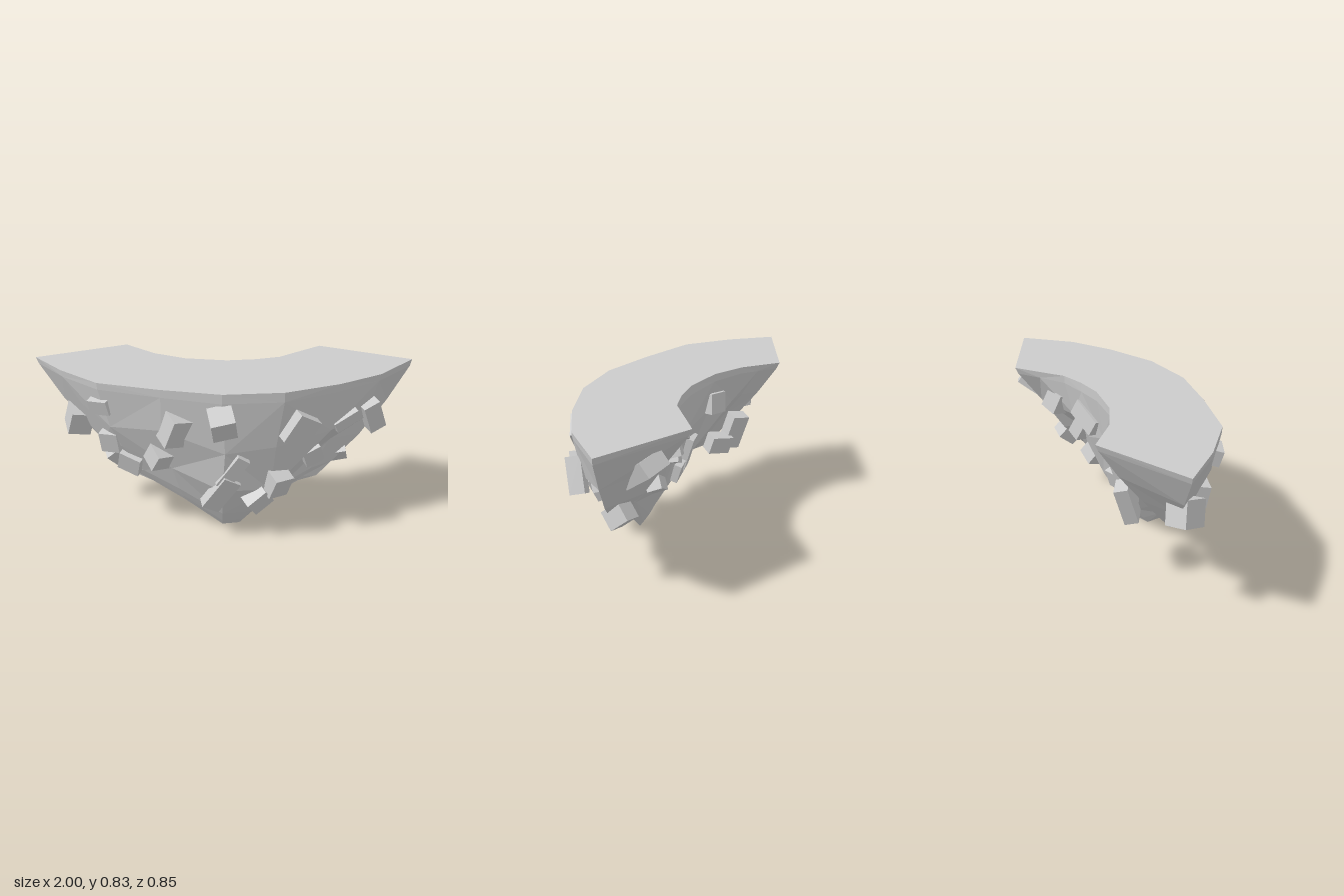
import * as THREE from 'three';

const material = new THREE.MeshStandardMaterial({ color: 0xcccccc, flatShading: true });

// Stations along the crescent: front rim [x,z], back rim [x,z], keel [x,y,z], bulge of front and back walls
const TOP = 0.83;
const stations = [
  [[-1.0, -0.2], [-0.54, -0.42], [-0.5, 0.28, -0.01], 1.25, 1.2],
  [[-0.83, 0.0], [-0.45, -0.34], [-0.46, 0.26, 0.04], 1.4, 1.4],
  [[-0.62, 0.18], [-0.37, -0.27], [-0.37, 0.24, 0.08], 1.6, 1.7],
  [[-0.3, 0.27], [-0.2, -0.19], [-0.2, 0.15, 0.12], 2.2, 2.0],
  [[0.0, 0.33], [0.02, -0.16], [0.0, 0.005, 0.13], 3.0, 2.3],
  [[0.3, 0.3], [0.17, -0.18], [0.09, 0.0, 0.105], 2.4, 2.2],
  [[0.58, 0.18], [0.3, -0.22], [0.25, 0.16, 0.1], 1.7, 1.9],
  [[0.8, 0.04], [0.42, -0.32], [0.4, 0.24, 0.07], 1.4, 1.4],
  [[1.0, -0.19], [0.53, -0.41], [0.5, 0.25, 0.03], 1.4, 1.2],
];
const STEPS = [0, 0.06, 0.36, 0.65, 0.88, 0.96, 1];

function seeded(seed) {
  return () => {
    seed = (seed * 16807) % 2147483647;
    return seed / 2147483647 - 0.5;
  };
}

// Section runs from the front rim, under the keel and up to the back rim
function section([front, back, keel, frontBulge, backBulge], rnd, isEnd) {
  const wall = (rim, power) => STEPS.map((t) => {
    const s = Math.pow(t, power);
    const rough = t > 0.2 && t < 0.8 ? (isEnd ? 0.02 : 0.05) : 0;
    return new THREE.Vector3(
      THREE.MathUtils.lerp(rim[0], keel[0], s) + rnd() * rough,
      THREE.MathUtils.lerp(TOP, keel[1], t) + rnd() * rough * 1.4,
      THREE.MathUtils.lerp(rim[1], keel[2], s) + rnd() * rough * 0.6,
    );
  });
  return [...wall(front, frontBulge), ...wall(back, backBulge).reverse().slice(1)];
}

function rockGeometry() {
  const rnd = seeded(4711);
  const last = stations.length - 1;
  const rings = stations.map((s, i) => section(s, rnd, i === 0 || i === last));
  const n = rings[0].length;
  const pos = [];
  const tri = (...pts) => pts.forEach((p) => pos.push(p.x, p.y, p.z));

  for (let i = 0; i < last; i++) {
    const a = rings[i], b = rings[i + 1];
    for (let j = 0; j < n; j++) {
      const k = (j + 1) % n; // the closing strip is the flat top
      if ((i + j) % 2 && k) {
        tri(a[j], a[k], b[j]);
        tri(b[j], a[k], b[k]);
      } else {
        tri(a[j], a[k], b[k]);
        tri(a[j], b[k], b[j]);
      }
    }
  }
  // End faces, zipped between front and back walls
  const cap = (r, flip) => {
    const put = (p, q, s) => (flip ? tri(p, s, q) : tri(p, q, s));
    for (let j = 0; j < (n - 1) / 2; j++) {
      const m = n - 1 - j;
      put(r[j], r[m], r[j + 1]);
      if (m - 1 > j + 1) put(r[j + 1], r[m], r[m - 1]);
    }
  };
  cap(rings[0], false);
  cap(rings[last], true);

  const geo = new THREE.BufferGeometry();
  geo.setAttribute('position', new THREE.Float32BufferAttribute(pos, 3));
  geo.computeVertexNormals();
  return geo;
}

// Stones: centre x, y, size w, h, d, turn x, y, z
const frontStones = [
  [-0.61, 0.7, 0.11, 0.08, 0.06, 0.3, -0.4, 0.2],
  [-0.23, 0.62, 0.12, 0.16, 0.1, 0.4, 0.5, -0.4],
  [-0.57, 0.49, 0.1, 0.11, 0.1, 0.2, -0.3, 0.1],
  [-0.47, 0.37, 0.12, 0.11, 0.1, 0.3, -0.4, -0.2],
  [-0.55, 0.39, 0.11, 0.09, 0.08, 0.4, 0.3, 0.6],
  [-0.31, 0.44, 0.13, 0.1, 0.1, 0.6, 0.5, -0.5],
  [-0.01, 0.27, 0.1, 0.21, 0.06, 0.3, 0.2, -0.6],
  [0.05, 0.4, 0.07, 0.2, 0.06, 0.2, 0.1, -0.6],
  [0.17, 0.22, 0.12, 0.11, 0.12, 0.4, 0.5, 0.5],
  [0.27, 0.32, 0.11, 0.13, 0.13, 0.5, 0.5, -0.3],
  [0.37, 0.63, 0.14, 0.16, 0.13, 0.2, 0.4, -0.6],
  [0.45, 0.43, 0.1, 0.1, 0.1, 0.3, 0.4, 0.3],
  [0.62, 0.62, 0.14, 0.06, 0.07, 0.2, 0.4, 0.4],
];
const backStones = [
  [0.39, 0.66, 0.1, 0.11, 0.1, 0.3, 0.4, 0.2],
  [0.15, 0.64, 0.18, 0.09, 0.08, 0.2, 0.3, 0.4],
  [0.22, 0.57, 0.08, 0.15, 0.07, 0.2, 0.3, 0.4],
  [-0.24, 0.66, 0.11, 0.11, 0.1, 0.1, -0.3, 0.1],
  [0.25, 0.38, 0.1, 0.1, 0.08, 0.4, 0.3, 0.4],
  [-0.09, 0.42, 0.09, 0.19, 0.08, -0.3, 0.2, 0.0],
  [-0.03, 0.34, 0.14, 0.1, 0.08, -0.3, 0.2, 0.0],
];
// Stones on the arms: centre x, y, z, size w, h, d, turn x, y, z
const armStones = [
  [0.0, 0.69, 0.345, 0.12, 0.12, 0.12, 0.5, 0.2, 0.1],
  [0.77, 0.61, 0.04, 0.09, 0.17, 0.07, 0.2, 0.4, 0.35],
  [0.61, 0.365, -0.08, 0.1, 0.1, 0.11, 0.7, 0.1, 0.2],
  [0.66, 0.65, -0.235, 0.13, 0.08, 0.23, 0.68, -0.4, 0.0],
  [-0.77, 0.53, -0.09, 0.12, 0.13, 0.13, 0.3, 0.3, -0.3],
  [-0.43, 0.44, -0.21, 0.1, 0.2, 0.07, -0.3, -0.6, 0.0],
  [-0.34, 0.385, -0.16, 0.13, 0.1, 0.07, -0.3, -0.6, 0.0],
];

export function createModel() {
  const group = new THREE.Group();
  const rock = new THREE.Mesh(rockGeometry(), material);
  rock.name = 'crescentRock';
  group.add(rock);

  const addStone = (name, x, y, z, w, h, d, rx, ry, rz) => {
    const stone = new THREE.Mesh(new THREE.BoxGeometry(w, h, d), material);
    stone.position.set(x, y, z);
    stone.rotation.set(rx, ry, rz);
    stone.name = name;
    group.add(stone);
  };

  // Wall stones sit half sunk where a line along z meets the rock
  const caster = new THREE.Raycaster();
  const scatter = (list, side, name) => list.forEach(([x, y, ...rest]) => {
    caster.set(new THREE.Vector3(x, y, side * 3), new THREE.Vector3(0, 0, -side));
    const hit = caster.intersectObject(rock)[0];
    addStone(name, x, y, hit ? hit.point.z - side * 0.01 : 0, ...rest);
  });
  scatter(frontStones, 1, 'frontStone');
  scatter(backStones, -1, 'backStone');
  armStones.forEach((s) => addStone('armStone', ...s));
  return group;
}
